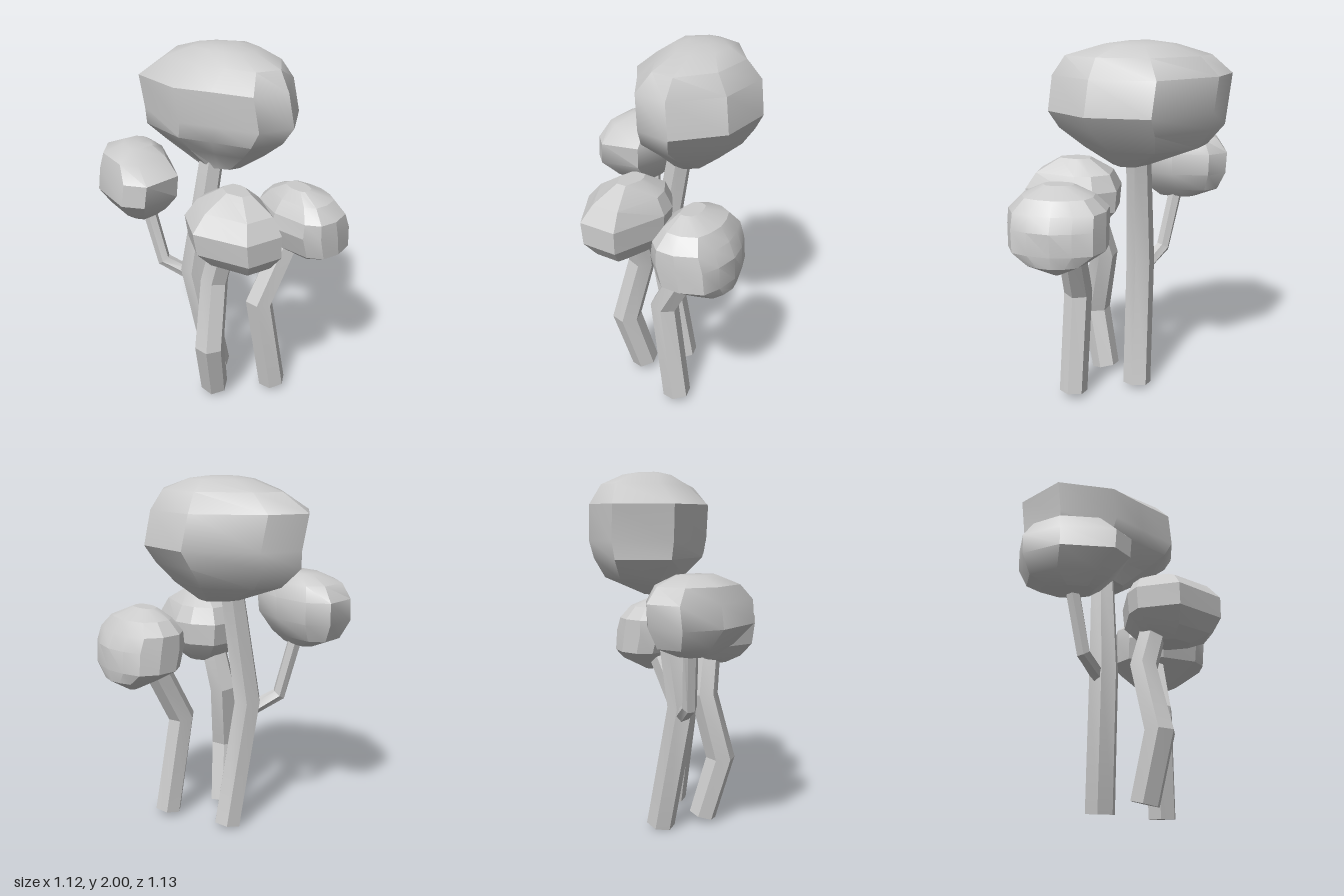
import * as THREE from 'three';
import { toCreasedNormals } from 'three/addons/utils/BufferGeometryUtils.js';

const material = new THREE.MeshStandardMaterial({ color: 0xcccccc });

// Skins a stack of rings (Vector3 loops, bottom to top) and closes both ends.
function loft(rings, crease) {
  const n = rings[0].length, last = (rings.length - 1) * n;
  const points = rings.flat();
  const index = [];
  const centre = ring => ring.reduce((s, p) => s.add(p), new THREE.Vector3()).divideScalar(n);
  const low = points.push(centre(rings[0])) - 1;
  const high = points.push(centre(rings[rings.length - 1])) - 1;
  for (let i = 0; i < n; i++) {
    const j = (i + 1) % n;
    for (let k = 0; k < last; k += n) {
      index.push(k + i, k + n + i, k + n + j, k + i, k + n + j, k + j);
    }
    index.push(low, i, j, high, last + j, last + i);
  }
  const geometry = new THREE.BufferGeometry().setFromPoints(points);
  geometry.setIndex(index);
  return toCreasedNormals(geometry, crease);
}

// Bent six-sided stem along a path of [x, y, z, radius].
function stem(name, path, sides = 6) {
  const p = path.map(a => new THREE.Vector3(a[0], a[1], a[2]));
  const dir = (a, b) => b.clone().sub(a).normalize();
  const rings = p.map((c, i) => {
    const t = new THREE.Vector3();
    if (i > 0) t.add(dir(p[i - 1], c));
    if (i < p.length - 1) t.add(dir(c, p[i + 1]));
    t.normalize();
    const u = new THREE.Vector3(1, 0, 0).addScaledVector(t, -t.x).normalize();
    const v = u.clone().cross(t);
    return Array.from({ length: sides }, (_, s) => {
      const a = (s / sides) * Math.PI * 2 + 0.25;
      return c.clone()
        .addScaledVector(u, Math.cos(a) * path[i][3])
        .addScaledVector(v, Math.sin(a) * path[i][3]);
    });
  });
  const mesh = new THREE.Mesh(loft(rings, 0.4), material);
  mesh.name = name;
  return mesh;
}

// Faceted crown: a plan outline [x, z] fitted into each level [y, x0, x1, z0, z1].
function crown(name, outline, levels, crease) {
  const xs = outline.map(o => o[0]), zs = outline.map(o => o[1]);
  const ax = Math.min(...xs), bx = Math.max(...xs);
  const az = Math.min(...zs), bz = Math.max(...zs);
  const rings = levels.map(([y, x0, x1, z0, z1]) => outline.map(([x, z]) => new THREE.Vector3(
    x0 + (x1 - x0) * (x - ax) / (bx - ax), y, z0 + (z1 - z0) * (z - az) / (bz - az))));
  const mesh = new THREE.Mesh(loft(rings, crease), material);
  mesh.name = name;
  return mesh;
}

export function createModel() {
  const tree = new THREE.Group();
  tree.name = 'treeCluster';

  // Trunks and the side branch
  tree.add(
    stem('mainTrunk', [[0.03, 0.015, -0.08, 0.082], [-0.12, 0.74, -0.08, 0.082], [0.01, 1.45, -0.08, 0.068]]),
    stem('sideBranch', [[-0.13, 0.69, -0.1, 0.04], [-0.255, 0.78, -0.2, 0.04], [-0.32, 1.18, -0.28, 0.04]]),
    stem('frontTrunk', [[-0.12, 0.04, 0.13, 0.08], [-0.195, 0.39, 0.2, 0.085], [-0.12, 0.77, 0.135, 0.08], [-0.1, 1.02, 0.2, 0.075]]),
    stem('leftTrunk', [[0.2, 0.03, 0.27, 0.08], [0.105, 0.61, 0.25, 0.08], [0.3, 0.98, 0.25, 0.075]]),
  );

  // Large top crown
  tree.add(crown('mainCrown',
    [[0.43, -0.2], [0.41, 0.14], [0.2, 0.37], [0, 0.34], [-0.13, 0.14], [-0.25, -0.03],
      [-0.28, -0.36], [-0.05, -0.57], [0.17, -0.5]],
    [[1.355, -0.05, 0.17, -0.16, 0.05], [1.46, -0.15, 0.31, -0.45, 0.19],
      [1.56, -0.25, 0.38, -0.54, 0.32], [1.65, -0.26, 0.43, -0.55, 0.37],
      [1.83, -0.28, 0.4, -0.57, 0.35], [1.93, -0.14, 0.33, -0.46, 0.28],
      [1.985, -0.05, 0.25, -0.28, 0.09], [2, 0.02, 0.17, -0.17, -0.03]], 0.65));

  // Long crown on the side branch
  tree.add(crown('branchCrown',
    [[-0.17, -0.25], [-0.25, -0.02], [-0.47, 0.03], [-0.56, -0.06], [-0.56, -0.35],
      [-0.45, -0.54], [-0.26, -0.56], [-0.175, -0.46]],
    [[1.085, -0.42, -0.28, -0.38, -0.16], [1.14, -0.49, -0.22, -0.51, -0.08],
      [1.24, -0.56, -0.175, -0.555, 0.02], [1.36, -0.545, -0.17, -0.56, 0.03],
      [1.44, -0.52, -0.2, -0.5, -0.08], [1.488, -0.42, -0.27, -0.38, -0.18]], 0.65));

  // Front crown
  tree.add(crown('frontCrown',
    [[0.12, 0.27], [0.01, 0.56], [-0.2, 0.56], [-0.35, 0.3], [-0.27, 0.08], [-0.19, 0.04],
      [0.02, 0.04], [0.1, 0.16]],
    [[0.935, -0.16, 0, 0.2, 0.4], [0.98, -0.25, 0.06, 0.12, 0.5],
      [1.06, -0.33, 0.115, 0.05, 0.56], [1.18, -0.35, 0.12, 0.04, 0.56],
      [1.27, -0.27, 0.075, 0.08, 0.5], [1.35, -0.14, -0.02, 0.2, 0.37]], 0.35));

  // Left crown
  tree.add(crown('leftCrown',
    [[0.56, 0.3], [0.54, 0.42], [0.5, 0.51], [0.38, 0.56], [0.27, 0.56], [0.2, 0.5], [0.15, 0.3],
      [0.2, 0.1], [0.28, 0.04], [0.4, 0.04], [0.5, 0.09], [0.54, 0.19]],
    [[0.83, 0.38, 0.43, 0.28, 0.32], [0.905, 0.27, 0.55, 0.14, 0.46],
      [0.97, 0.18, 0.56, 0.04, 0.56], [1.09, 0.14, 0.555, 0.04, 0.565],
      [1.17, 0.155, 0.52, 0.04, 0.56], [1.24, 0.2, 0.47, 0.11, 0.49],
      [1.29, 0.26, 0.36, 0.22, 0.38]], 0.35));

  return tree;
}
